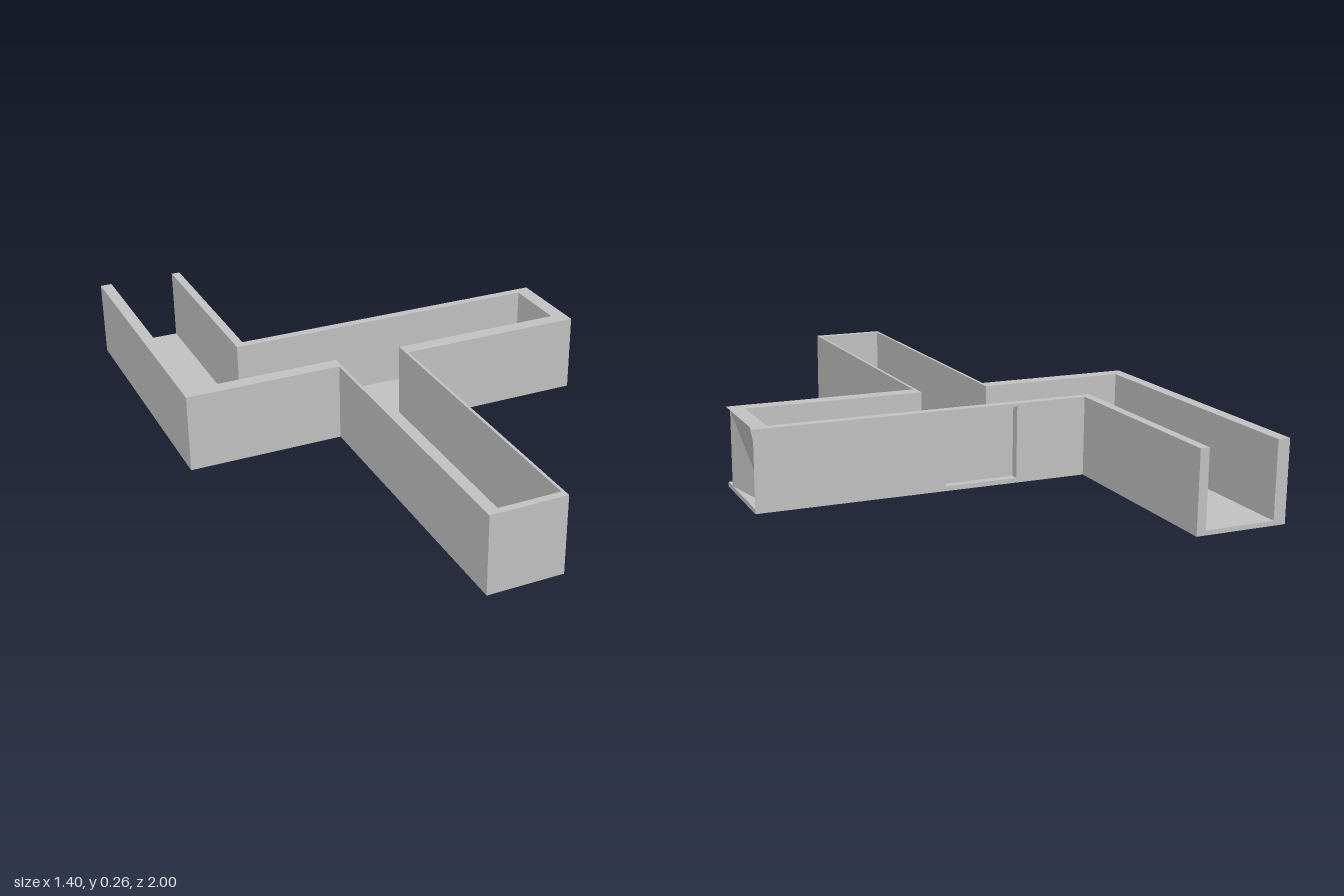
import * as THREE from 'three';

const FLOOR = 0.015, TOP = 0.26;

// Corner lists as [x, z]; travelling along them, the visible side is on the right
const outer = [
  [-0.7, -1], [-0.7, -0.01], [-0.18, -0.01], [-0.18, 1], [0.07, 1], [0.07, -0.01],
  [0.7, -0.01], [0.7, -0.32], [-0.4, -0.32], [-0.4, -1],
];
const inner = [
  [-0.43, -1], [-0.43, -0.29], [0.65, -0.29], [0.65, -0.06], [0.06, -0.06],
  [0.06, 0.975], [-0.17, 0.975], [-0.17, -0.06], [-0.66, -0.06], [-0.66, -1],
];
const doorRecess = [[0.085, -0.32], [0.085, -0.291], [-0.16, -0.291], [-0.16, -0.32]];

const flatShape = (pts) => new THREE.Shape(pts.map(([x, z]) => new THREE.Vector2(x, -z)));

// Triangles given as lists of [x, y, z] corners
function triangles(corners) {
  const g = new THREE.BufferGeometry();
  g.setAttribute('position', new THREE.Float32BufferAttribute(corners.flat(), 3));
  g.computeVertexNormals();
  return g;
}

// Vertical sheets along an open path
function sheets(path, y0, y1) {
  const c = [];
  for (let i = 0; i + 1 < path.length; i++) {
    const [ax, az] = path[i], [bx, bz] = path[i + 1];
    c.push([ax, y0, az], [bx, y0, bz], [bx, y1, bz], [ax, y0, az], [bx, y1, bz], [ax, y1, az]);
  }
  return triangles(c);
}

export function createModel() {
  const group = new THREE.Group();
  const grey = new THREE.MeshStandardMaterial({ color: 0xc0c0c0 });
  grey.name = 'plainGrey';
  const add = (name, geometry) => {
    const m = new THREE.Mesh(geometry, grey);
    m.name = name;
    group.add(m);
    return m;
  };

  // Floor slab over the whole footprint
  add('floor', new THREE.ExtrudeGeometry(flatShape(outer), { depth: FLOOR, bevelEnabled: false })
    .rotateX(-Math.PI / 2));

  // Wall faces; the end between outer corners 6 and 7 stays open
  add('frontWalls', sheets(outer.slice(0, 7), FLOOR, TOP));
  add('backWalls', sheets([outer[7], ...doorRecess, ...outer.slice(8)], FLOOR, TOP - 0.01));
  add('backWallTopEdge', sheets(outer.slice(7), TOP - 0.01, TOP));
  add('innerWalls', sheets([outer[9], ...inner, outer[0]], FLOOR, TOP));

  // Flat rim on top of the walls
  add('wallRim', new THREE.ShapeGeometry(flatShape([...outer, ...inner])).rotateX(-Math.PI / 2))
    .position.y = TOP;

  // Lintel over the recessed back doorway
  add('doorLintel', new THREE.BoxGeometry(0.245, 0.009, 0.029)).position.set(-0.0375, 0.2545, -0.305);

  // Twisted panel and jambs in the open end
  const fb = [0.7, FLOOR, -0.062], ft = [0.7, TOP, -0.062];
  const bb = [0.652, FLOOR, -0.285], bt = [0.7, TOP, -0.285];
  add('endPanel', triangles([fb, bb, ft, ft, bb, bt]));
  add('endFrontJamb', sheets([[0.65, -0.06], [0.7, -0.06]], FLOOR, TOP));
  add('endBackJamb', triangles([bt, bb, [0.652, TOP, -0.285]]));

  return group;
}
